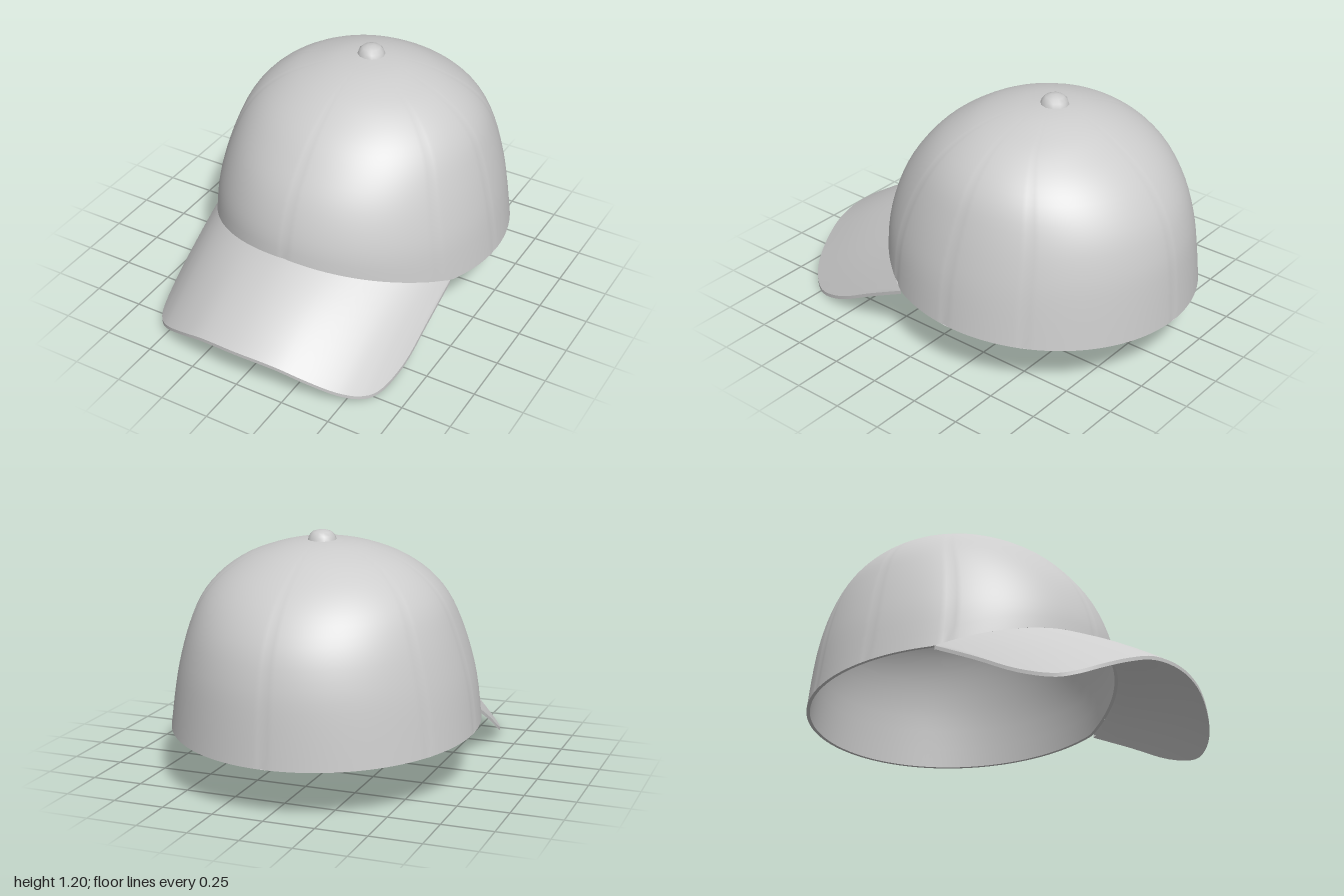
import * as THREE from 'three';

const COLS = 192;
const APEX = 1.16;
const VISOR_END = 1.12; // angle from the front where the visor meets the crown side

// Crown levels: y, half width, front z, back z
const LEVELS = [
  [0.24, 0.75, 0.56, -1.0],
  [0.45, 0.722, 0.56, -0.985],
  [0.6, 0.69, 0.53, -0.965],
  [0.75, 0.645, 0.465, -0.92],
  [0.88, 0.59, 0.37, -0.84],
  [0.98, 0.51, 0.27, -0.74],
  [1.06, 0.4, 0.15, -0.62],
  [1.11, 0.28, 0.04, -0.52],
  [1.145, 0.15, -0.1, -0.4],
  [APEX, 0, -0.27, -0.27],
];
const heightWidth = new THREE.SplineCurve(LEVELS.map((l) => new THREE.Vector2(l[0], l[1])));
const frontBack = new THREE.SplineCurve(LEVELS.map((l) => new THREE.Vector2(l[2], l[3])));

// Grid surface from point(u, v); u runs across, v runs up
function surface(name, material, nu, nv, wrap, point) {
  const positions = [];
  const index = [];
  const cols = wrap ? nu : nu + 1;
  for (let j = 0; j <= nv; j++) {
    for (let i = 0; i < cols; i++) positions.push(...point(i / nu, j / nv).toArray());
  }
  for (let j = 0; j < nv; j++) {
    for (let i = 0; i < nu; i++) {
      const k = (i + 1) % cols;
      const a = j * cols + i, b = j * cols + k, c = a + cols, d = b + cols;
      index.push(a, b, d, a, d, c);
    }
  }
  const geometry = new THREE.BufferGeometry();
  geometry.setAttribute('position', new THREE.Float32BufferAttribute(positions, 3));
  geometry.setIndex(index);
  geometry.computeVertexNormals();
  const mesh = new THREE.Mesh(geometry, material);
  mesh.name = name;
  return mesh;
}

// Height of the crown's lower edge: arched over the visor, level behind it
function rimHeight(theta) {
  const a = Math.abs(theta > Math.PI ? theta - 2 * Math.PI : theta);
  if (a < VISOR_END) return 0.45 - 0.163 * Math.pow(a / VISOR_END, 1.6);
  return 0.28 + 0.04 * (-0.22 + 0.78 * Math.cos(a));
}

// Position on the curve where the crown reaches height y
function levelAt(y) {
  let lo = 0, hi = 1;
  for (let i = 0; i < 24; i++) {
    const mid = (lo + hi) / 2;
    if (heightWidth.getPoint(mid).x < y) lo = mid;
    else hi = mid;
  }
  return lo;
}

function crownPoint(theta, v, groove = 1) {
  const t = THREE.MathUtils.lerp(levelAt(rimHeight(theta)), 1, v);
  const hw = heightWidth.getPoint(t);
  const fb = frontBack.getPoint(t);
  return new THREE.Vector3(
    hw.y * groove * Math.sin(theta),
    hw.x,
    (fb.x + fb.y) / 2 + ((fb.x - fb.y) / 2) * groove * Math.cos(theta)
  );
}

// Inside of the crown, set in by the thickness of the cloth
function liningPoint(theta, v) {
  const p = crownPoint(theta, v);
  p.x *= 0.978;
  p.z = -0.22 + (p.z + 0.22) * 0.978;
  p.y -= 0.018 * v;
  return p;
}

// Visor outer edge for one half, each point paired with an angle on the crown
const EDGE = [
  [0, 0.2, 1.0, 0],
  [0.2, 0.182, 0.98, 0.27],
  [0.35, 0.13, 0.94, 0.49],
  [0.48, 0.07, 0.88, 0.72],
  [0.56, 0.03, 0.81, 0.87],
  [0.61, 0.018, 0.73, 0.96],
  [0.65, 0.068, 0.56, 1.04],
  [0.663, 0.18, 0.34, 1.09],
  [0.67, 0.287, 0.12, VISOR_END],
];
const MIRRORED = [...EDGE.slice(1).reverse().map(([x, y, z, a]) => [-x, y, z, -a]), ...EDGE];
const edgeCurve = new THREE.CatmullRomCurve3(MIRRORED.map((e) => new THREE.Vector3(e[0], e[1], e[2])));
const angleCurve = new THREE.SplineCurve(MIRRORED.map((e, i) => new THREE.Vector2(i, e[3])));

// s = 0 at the outer edge, 1 at the crown
function visorPoint(u, s, drop) {
  const p = edgeCurve.getPoint(u);
  p.lerp(crownPoint(angleCurve.getPoint(u).y, 0), s);
  p.y += 0.012 * Math.sin(Math.PI * s) * Math.sin(Math.PI * u) - drop;
  return p;
}

export function createModel() {
  const cap = new THREE.Group();
  cap.name = 'baseballCap';
  const cloth = new THREE.MeshStandardMaterial({ color: 0xcccccc, side: THREE.DoubleSide });
  cloth.name = 'light grey cloth';

  // Crown with shallow panel seams, lining and lower hem
  const seams = [0, 60, 90, 120, 180, 240, 270, 300].map((d) => Math.round((d / 360) * COLS));
  const turn = 2 * Math.PI;
  const crown = new THREE.Group();
  crown.name = 'crown';
  crown.add(
    surface('crownPanels', cloth, COLS, 28, true, (u, v) =>
      crownPoint(u * turn, v, seams.includes(Math.round(u * COLS)) ? 0.995 : 1)),
    surface('crownLining', cloth, COLS, 20, true, (u, v) => liningPoint(u * turn, 1 - v)),
    surface('crownHem', cloth, COLS, 1, true, (u, v) =>
      v ? crownPoint(u * turn, 0) : liningPoint(u * turn, 0))
  );

  // Curved visor
  const visor = new THREE.Group();
  visor.name = 'visor';
  const thick = 0.018;
  visor.add(
    surface('visorTop', cloth, 64, 8, false, (u, v) => visorPoint(u, v, 0)),
    surface('visorUnderside', cloth, 64, 8, false, (u, v) => visorPoint(u, 1 - v, thick)),
    surface('visorEdge', cloth, 64, 1, false, (u, v) => visorPoint(u, 0, thick * (1 - v)))
  );

  // Button on the top
  const profile = [[0.07, 0], [0.062, 0.025], [0.045, 0.042], [0.02, 0.05], [0, 0.051]];
  const button = new THREE.Mesh(
    new THREE.LatheGeometry(profile.map(([r, y]) => new THREE.Vector2(r, y)), 12), cloth);
  button.name = 'topButton';
  button.position.set(0, 1.149, -0.28);

  cap.add(crown, visor, button);
  return cap;
}
